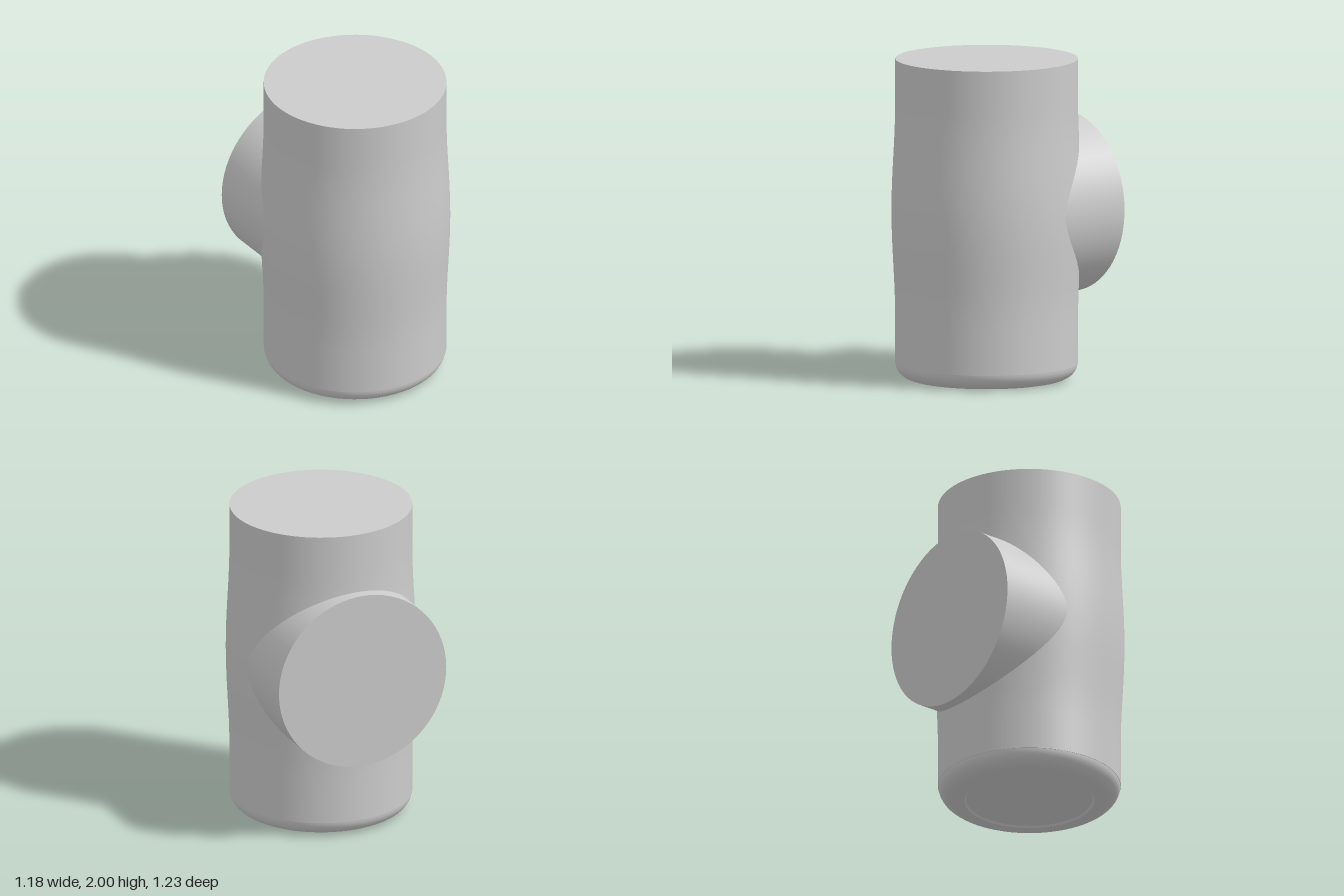
import * as THREE from 'three';

const R = 0.565;          // radius of the body ends and of the side branch
const BODY_Z = 0.025;     // body axis
const BRANCH_Y = 1.055;   // branch axis height
const BACK_Z = -0.613;    // end face of the branch
const SEGMENTS = 72;

export function createModel() {
  const model = new THREE.Group();
  const material = new THREE.MeshStandardMaterial({ color: 0xcccccc });

  // Surface of revolution; separate pieces keep the edges between them sharp
  const lathe = (name, points, parent) => {
    const profile = points.map(([r, y]) => new THREE.Vector2(r, y));
    const mesh = new THREE.Mesh(new THREE.LatheGeometry(profile, SEGMENTS), material);
    mesh.name = name;
    parent.add(mesh);
  };

  const body = new THREE.Group();
  body.name = 'body';
  body.position.z = BODY_Z;
  model.add(body);

  // Wall with a gentle swelling around the branch height
  const wall = [];
  for (let i = 0; i <= 32; i++) {
    const y = 0.1 + (1.9 * i) / 32;
    const t = Math.min(1, Math.abs(y - BRANCH_Y) / 0.68);
    wall.push([R + 0.0115 * (1 + Math.cos(Math.PI * t)), y]);
  }
  lathe('wall', wall, body);
  lathe('topFace', [[R, 2], [0, 2]], body);

  // Rounded foot around a shallow recessed base
  const foot = [];
  for (let i = 0; i <= 10; i++) {
    const a = (Math.PI / 2) * (i / 10);
    foot.push([0.44 + 0.122 * Math.sin(a), 0.1 - 0.1 * Math.cos(a)]);
  }
  lathe('footRounding', foot, body);
  lathe('footLip', [[R - 0.003, 0.1], [R, 0.1]], body);
  lathe('footRing', [[0.4, 0], [0.44, 0]], body);
  lathe('recessWall', [[0.39, 0.012], [0.4, 0]], body);
  lathe('baseFace', [[0, 0.012], [0.39, 0.012]], body);

  // Side branch running out of the back
  const length = -BACK_Z;
  const branchGeometry = new THREE.CylinderGeometry(R, R, length, SEGMENTS);
  branchGeometry.rotateX(-Math.PI / 2);
  const branch = new THREE.Mesh(branchGeometry, material);
  branch.name = 'sideBranch';
  branch.position.set(0, BRANCH_Y, BACK_Z + length / 2);
  model.add(branch);

  return model;
}
